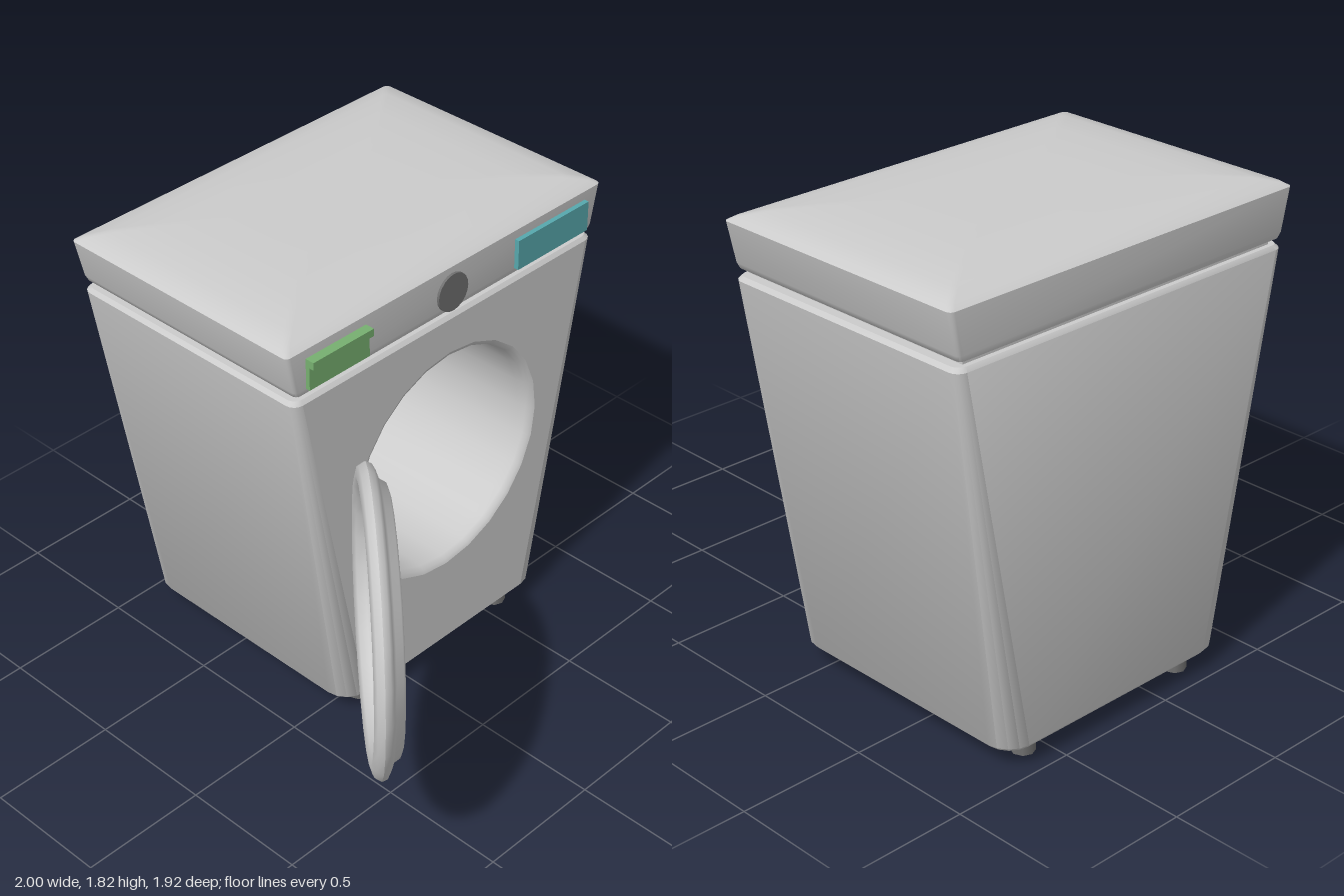
import * as THREE from 'three';
import { toCreasedNormals } from 'three/addons/utils/BufferGeometryUtils.js';

const CX = 0.2, FRONT = 0.12, BACK = -0.96, STEPS = 4;
const DOOR_ANGLE = 0.85;

// Rounded rectangle in the xz plane: half width, inset in z, height, corner radius
function ring([hw, inset, y, r]) {
  const pts = [];
  const zc = (FRONT + BACK) / 2, hz = (FRONT - BACK) / 2 - inset;
  [[1, 1], [-1, 1], [-1, -1], [1, -1]].forEach(([sx, sz], corner) => {
    for (let i = 0; i <= STEPS; i++) {
      const a = (corner + i / STEPS) * Math.PI / 2;
      pts.push([CX + sx * (hw - r) + r * Math.cos(a), y, zc + sz * (hz - r) + r * Math.sin(a)]);
    }
  });
  return pts;
}

// Skin over a stack of rings, capped at both ends; openBand leaves out one front panel
function loft(sections, openBand = -1) {
  const rings = sections.map(ring), n = rings[0].length, index = [];
  const pos = rings.flat(2);
  for (let k = 0; k < rings.length - 1; k++) {
    for (let i = 0; i < n; i++) {
      if (k === openBand && i === STEPS) continue;
      const a = k * n + i, b = k * n + (i + 1) % n;
      index.push(a, a + n, b, b, a + n, b + n);
    }
  }
  const low = rings.length * n, high = low + 1, top = (rings.length - 1) * n;
  const zc = (FRONT + BACK) / 2;
  pos.push(CX, sections[0][2], zc, CX, sections[sections.length - 1][2], zc);
  for (let i = 0; i < n; i++) {
    const j = (i + 1) % n;
    index.push(low, i, j, high, top + j, top + i);
  }
  const g = new THREE.BufferGeometry();
  g.setAttribute('position', new THREE.Float32BufferAttribute(pos, 3));
  g.setIndex(index);
  return toCreasedNormals(g, 0.7);
}

// Lathe turned so that its axis runs along z
function latheZ(points, segments) {
  const g = new THREE.LatheGeometry(points.map(([r, z]) => new THREE.Vector2(r, z)), segments);
  return g.rotateX(Math.PI / 2);
}

export function createModel() {
  const model = new THREE.Group();
  model.name = 'washingMachine';
  const grey = new THREE.MeshStandardMaterial({ color: 0xcccccc });
  const dark = new THREE.MeshStandardMaterial({ color: 0x707070 });
  const green = new THREE.MeshStandardMaterial({ color: 0x77b070 });
  const teal = new THREE.MeshStandardMaterial({ color: 0x57a8ad, side: THREE.DoubleSide });

  function add(name, geometry, material, x = 0, y = 0, z = 0, parent = model) {
    const mesh = new THREE.Mesh(geometry, material);
    mesh.name = name;
    mesh.position.set(x, y, z);
    parent.add(mesh);
    return mesh;
  }
  const box = (w, h, d) => new THREE.BoxGeometry(w, h, d);

  // Tapered cabinet, widening upwards
  const low = [0.54, 0, 0.085, 0.1], high = [0.768, 0, 1.55, 0.04];
  add('cabinet', loft([[0.525, 0.012, 0.07, 0.09], low, high, [0.755, 0.012, 1.565, 0.035]], 1), grey);

  // Front panel with the round opening
  const panel = new THREE.Shape();
  const lw = low[0] - low[3], hw = high[0] - high[3];
  panel.moveTo(CX - lw, low[2]);
  panel.lineTo(CX + lw, low[2]);
  panel.lineTo(CX + hw, high[2]);
  panel.lineTo(CX - hw, high[2]);
  panel.closePath();
  const hole = new THREE.Path();
  hole.absarc(CX, 0.93, 0.48, 0, Math.PI * 2, true);
  panel.holes.push(hole);
  add('frontPanel', new THREE.ShapeGeometry(panel, 12), grey, 0, 0, FRONT);

  // Drum with a soft lip
  const drum = [[0.48, FRONT], [0.465, 0.113], [0.455, 0.095], [0.45, 0.06], [0.45, -0.76], [0, -0.76]];
  add('drum', toCreasedNormals(latheZ(drum, 24), 0.7), grey, CX, 0.93, 0);

  // Recessed neck and domed lid
  add('neck', box(1.44, 0.05, 1.02), grey, CX, 1.575, (FRONT + BACK) / 2);
  add('lid', loft([
    [0.735, 0.03, 1.577, 0.02], [0.752, 0.006, 1.588, 0.02], [0.762, 0, 1.61, 0.02],
    [0.798, 0, 1.765, 0.02], [0.775, 0.025, 1.781, 0.02], [0.7, 0.09, 1.799, 0.02],
    [0.56, 0.2, 1.812, 0.02], [0.36, 0.34, 1.817, 0.02],
  ]), grey);

  // Controls
  const drawer = new THREE.Group();
  drawer.name = 'detergentDrawer';
  model.add(drawer);
  add('drawerFront', box(0.285, 0.12, 0.03), green, -0.368, 1.67, 0.122, drawer);
  add('drawerHandle', box(0.285, 0.03, 0.05), green, -0.368, 1.715, 0.132, drawer);
  add('display', box(0.38, 0.12, 0.03), teal, 0.72, 1.67, 0.124);
  add('knob', new THREE.CylinderGeometry(0.075, 0.075, 0.03, 20).rotateX(Math.PI / 2), dark, CX, 1.665, 0.115);

  // Feet
  for (const x of [-0.19, 0.58])
    for (const z of [0.035, -0.87])
      add('foot', new THREE.CylinderGeometry(0.045, 0.045, 0.1, 8), dark, x, 0.05, z);

  // Open door: rounded rim around a slightly bulging glass
  const door = new THREE.Group();
  door.name = 'door';
  door.position.set(-0.63, 0.93, 0.55);
  door.rotation.y = DOOR_ANGLE;
  model.add(door);
  const rim = [[0.435, 0], [0.455, -0.03], [0.49, -0.042], [0.525, -0.032], [0.54, -0.008], [0.532, 0.012],
    [0.51, 0.024], [0.48, 0.034], [0.465, 0.058], [0.445, 0.065], [0.435, 0.05], [0.435, 0]];
  add('doorRim', toCreasedNormals(latheZ(rim, 24), 0.9), grey, 0, 0, 0, door);
  add('doorGlass', latheZ([[0.442, 0.055], [0.43, 0.064], [0.25, 0.072], [0, 0.075]], 24), teal, 0, 0, 0, door);

  // Hinge plate joining door and cabinet
  const hinge = add('hinge', box(0.03, 0.16, 0.09), grey, -0.255, 0.89, 0.135);
  hinge.rotation.y = DOOR_ANGLE - Math.PI / 2;
  return model;
}
